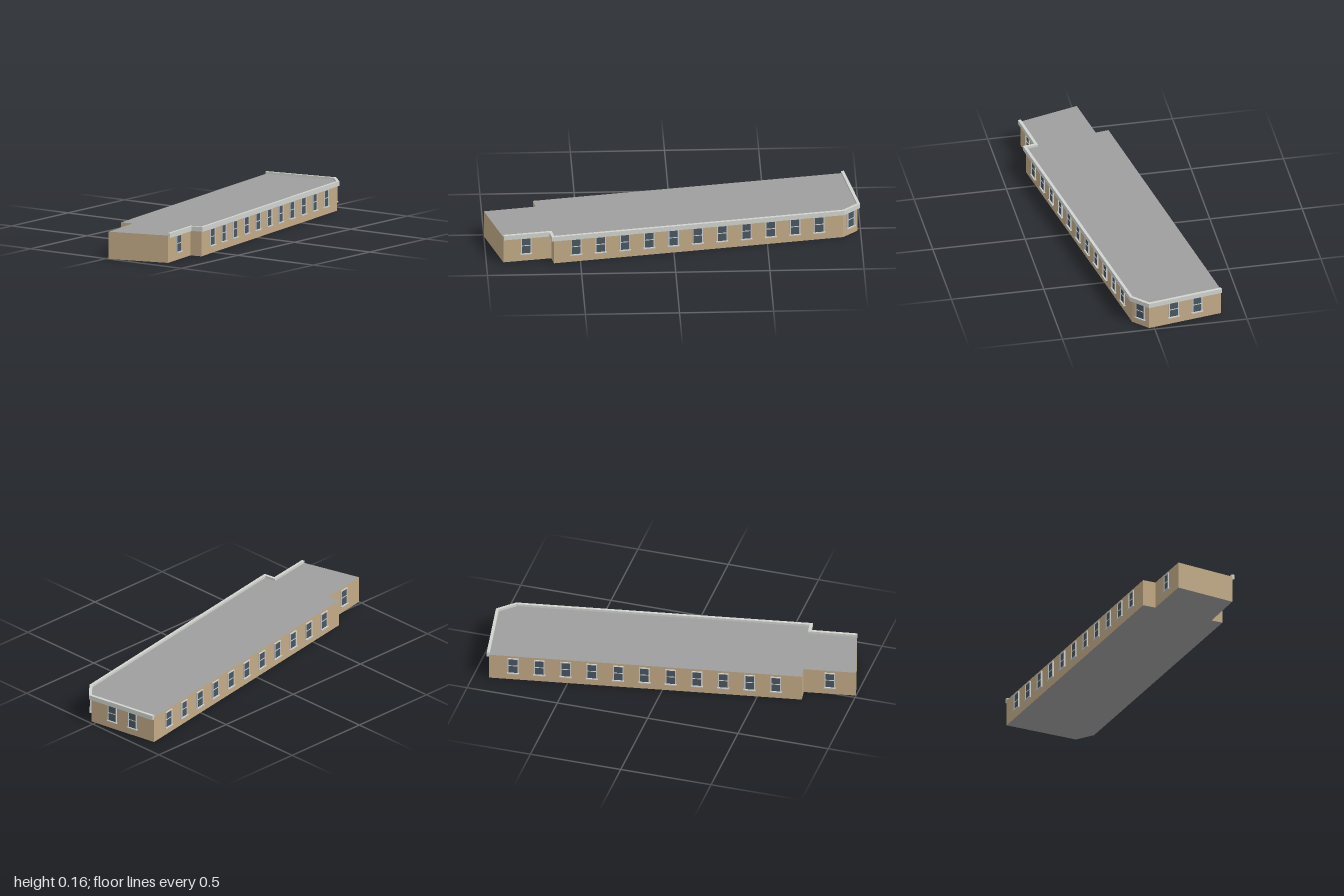
import * as THREE from 'three';

const material = (name, color) => {
  const m = new THREE.MeshStandardMaterial({ color });
  m.name = name;
  return m;
};

// Footprint corners as [x, z], counter-clockwise from the back left end
const A = [-1, 0.018], B = [-0.909, 0.342], C = [-0.653, 0.302], D = [-0.642, 0.365];
const E = [0.905, 0.104], F = [0.984, 0.027], G = [0.915, -0.376];
const H = [-0.735, -0.1], I = [-0.724, -0.029];

// Outward normal of the wall from p to q
function normal(p, q) {
  const dx = q[0] - p[0], dz = q[1] - p[1], l = Math.hypot(dx, dz);
  return [-dz / l, dx / l];
}

// Open path moved outward by d, with mitred corners
function offsetPath(path, d) {
  return path.map((p, i) => {
    const a = normal(path[Math.max(i - 1, 0)], path[Math.max(i, 1)]);
    const last = path.length - 1;
    const b = normal(path[Math.min(i, last - 1)], path[Math.min(i + 1, last)]);
    const k = d / (1 + a[0] * b[0] + a[1] * b[1]);
    return [p[0] + (a[0] + b[0]) * k, p[1] + (a[1] + b[1]) * k];
  });
}

// Upright prism over a plan outline
function prism(points, y0, y1) {
  const shape = new THREE.Shape(points.map(([x, z]) => new THREE.Vector2(x, -z)));
  const g = new THREE.ExtrudeGeometry(shape, { depth: y1 - y0, bevelEnabled: false });
  return g.rotateX(-Math.PI / 2).translate(0, y0, 0);
}

export function createModel() {
  const model = new THREE.Group();
  model.name = 'longBuilding';
  const wall = material('tan wall', 0xc2aa86);
  const roof = material('grey roof', 0x9e9e9e);
  const fascia = material('pale fascia', 0xd0d3ce);
  const trim = material('window trim', 0xcdd0d0);
  const glass = material('dark glass', 0x4a5660);

  const add = (parent, name, geometry, mat) => {
    const mesh = new THREE.Mesh(geometry, mat);
    mesh.name = name;
    parent.add(mesh);
    return mesh;
  };

  // Walls with flat roof and floor as the caps
  add(model, 'wallsAndRoof', prism([A, B, C, D, E, F, G, H, I], 0, 0.147), [roof, wall]);

  // Raised fascia along the front and the right end
  const path = [B, C, D, E, F, G];
  const band = [...offsetPath(path, 0.013), ...offsetPath(path, -0.003).reverse()];
  add(model, 'fascia', prism(band, 0.135, 0.16), fascia);

  // Sash window: glass, frame, meeting rail and sill
  const w = 0.056, y0 = 0.042, y1 = 0.1345, bar = 0.005, depth = 0.007;
  const box = (bw, bh, bd, x, y) => new THREE.BoxGeometry(bw, bh, bd).translate(x, y, bd / 2);
  const mid = (y0 + y1) / 2;
  const parts = [
    ['glass', box(w - bar, y1 - y0 - bar, 0.003, 0, mid), glass],
    ['leftFrame', box(bar, y1 - y0, depth, w / 2 - bar / 2, mid), trim],
    ['rightFrame', box(bar, y1 - y0, depth, -w / 2 + bar / 2, mid), trim],
    ['topFrame', box(w - 2 * bar, 0.004, depth, 0, y1 - 0.002), trim],
    ['meetingRail', box(w - 2 * bar, 0.004, 0.005, 0, mid + 0.001), trim],
    ['sill', box(w + 0.008, 0.005, 0.011, 0, y0), trim],
  ];

  const row = Array.from({ length: 11 }, (_, i) => 0.077 + 0.084 * i);
  const facades = [
    ['frontWing', B, C, [0.47]],
    ['front', D, E, row],
    ['corner', E, F, [0.5]],
    ['end', F, G, [0.338, 0.664]],
    ['back', G, H, row],
    ['backWing', I, A, [0.5]],
  ];
  for (const [name, p, q, stops] of facades) {
    const [nx, nz] = normal(p, q);
    for (const t of stops) {
      const win = new THREE.Group();
      win.name = name + 'Window';
      win.position.set(p[0] + (q[0] - p[0]) * t, 0, p[1] + (q[1] - p[1]) * t);
      win.rotation.y = Math.atan2(nx, nz);
      for (const [part, geometry, mat] of parts) add(win, part, geometry, mat);
      model.add(win);
    }
  }
  return model;
}
